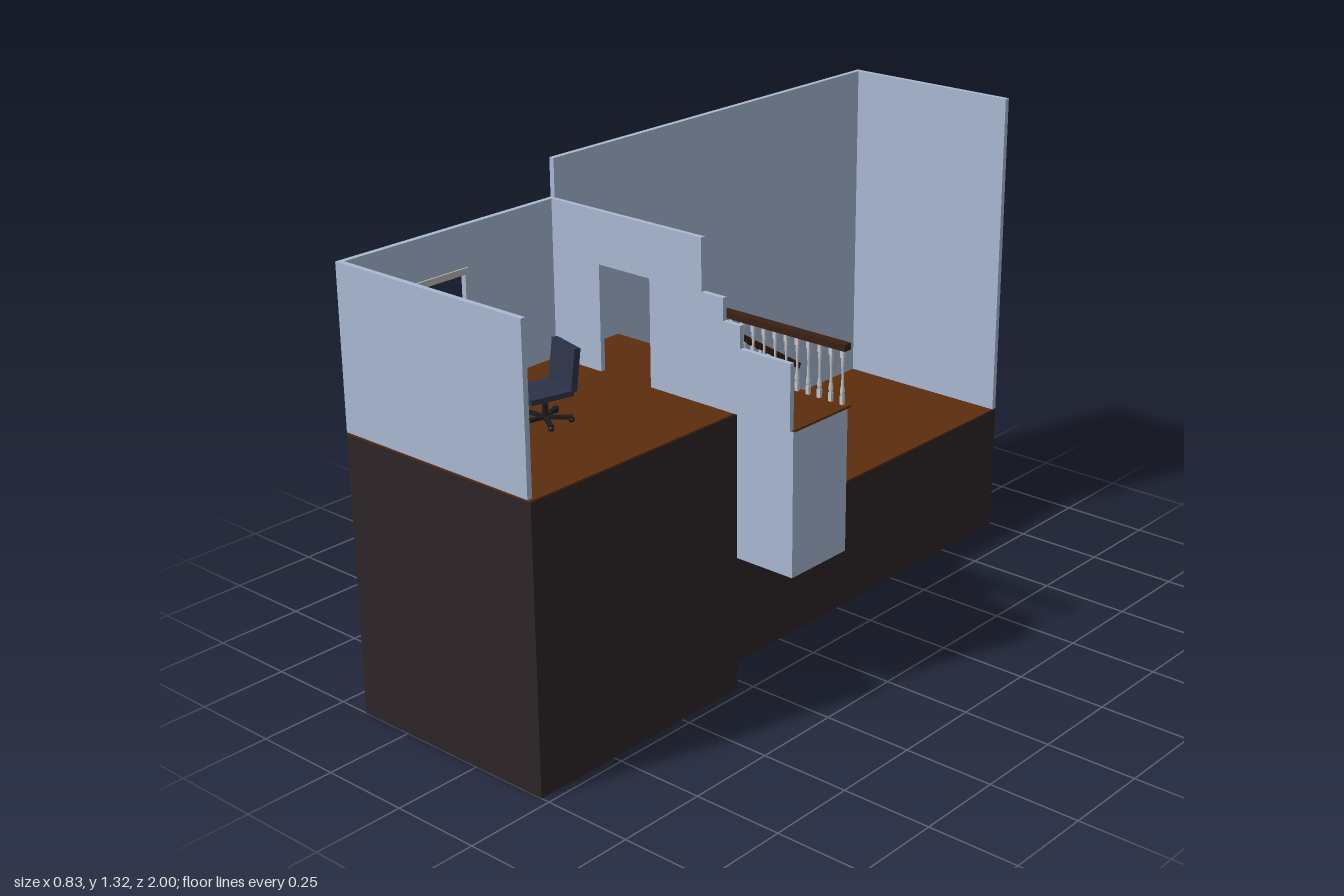
import * as THREE from 'three';

const mat = (color) => new THREE.MeshStandardMaterial({ color, side: THREE.DoubleSide });
const M = {
  wall: mat(0xa9b8d2), base: mat(0x2d2529), wood: mat(0x5c2e0e), rail: mat(0x3a2014),
  post: mat(0xc4c8cc), trim: mat(0xb8b8b8), desk: mat(0x4a2a20), black: mat(0x1c1c20),
  chair: mat(0x2c3448), paper: mat(0xdddddd), blue: mat(0x2c2c70), red: mat(0x70281c),
};

function add(parent, name, geo, material, x = 0, y = 0, z = 0) {
  const m = new THREE.Mesh(geo, material);
  m.name = name;
  m.position.set(x, y, z);
  parent.add(m);
  return m;
}

// Box given by its minimum and maximum on each axis
const box = (p, name, material, x0, x1, y0, y1, z0, z1) =>
  add(p, name, new THREE.BoxGeometry(x1 - x0, y1 - y0, z1 - z0), material,
    (x0 + x1) / 2, (y0 + y1) / 2, (z0 + z1) / 2);

const poly = (C, pts) => new C(pts.map(([a, b]) => new THREE.Vector2(a, b)));

// Outline in (z, y), extruded along +x from x0
function sideExtrude(p, name, material, outline, hole, x0, depth) {
  const s = poly(THREE.Shape, outline.map(([z, y]) => [-z, y]));
  if (hole) s.holes.push(poly(THREE.Path, hole.map(([z, y]) => [-z, y])));
  const geo = new THREE.ExtrudeGeometry(s, { depth, bevelEnabled: false });
  geo.rotateY(Math.PI / 2);
  return add(p, name, geo, material, x0, 0, 0);
}

function group(parent, name) {
  const g = new THREE.Group();
  g.name = name;
  parent.add(g);
  return g;
}

const LOW = 0.375, HIGH = 0.775, STEPS = 8;
const RISE = (HIGH - LOW) / (STEPS + 1), RUN = 0.0715, STAIR_Z = 0.065;

function buildShell(root) {
  // Foundations and floors
  box(root, 'frontFoundation', M.base, -0.41, 0.225, 0, HIGH - 0.005, 0.285, 1);
  box(root, 'rearFoundation', M.base, -0.41, 0.13, 0, LOW - 0.005, -1, 0.285);
  box(root, 'officeFloor', M.wood, -0.41, 0.225, HIGH - 0.005, HIGH, 0.285, 1);
  box(root, 'hallFloor', M.wood, -0.41, 0.13, LOW - 0.005, LOW, -1, 0.285);

  // Side wall in two heights, with the window opening in the front part
  box(root, 'hallSideWall', M.wall, -0.41, -0.395, LOW, 1.315, -1, 0.285);
  sideExtrude(root, 'officeSideWall', M.wall,
    [[0.285, HIGH], [1, HIGH], [1, 1.21], [0.285, 1.21]],
    [[0.605, 0.88], [0.77, 0.88], [0.77, 1.09], [0.605, 1.09]], -0.41, 0.015);
  box(root, 'windowSill', M.trim, -0.416, -0.39, 0.872, 0.888, 0.598, 0.776);
  box(root, 'windowLintel', M.trim, -0.416, -0.39, 1.083, 1.1, 0.598, 0.776);
  box(root, 'backWall', M.wall, -0.395, 0.13, LOW, 1.315, -1, -0.985);
  box(root, 'frontWall', M.wall, -0.395, 0.215, HIGH, 1.21, 0.985, 1);

  // Stepped partition with a doorway
  const s = poly(THREE.Shape, [[-0.395, HIGH], [-0.23, HIGH], [-0.23, 1.067], [-0.055, 1.067],
    [-0.055, HIGH], [0.405, HIGH], [0.405, 0.95], [0.245, 0.95], [0.245, 1.01], [0.19, 1.01],
    [0.19, 1.07], [0.12, 1.07], [0.12, 1.21], [-0.395, 1.21]]);
  add(root, 'partitionWall', new THREE.ExtrudeGeometry(s, { depth: 0.014, bevelEnabled: false }),
    M.wall, 0, 0, 0.283);

  // Landing
  box(root, 'landingBlock', M.wall, -0.395, 0.405, LOW, HIGH - 0.005, 0.07, 0.284);
  box(root, 'landingFloor', M.wood, -0.395, 0.41, HIGH - 0.005, HIGH + 0.001, 0.06, 0.284);
}

function buildStairs(root) {
  const g = group(root, 'staircase');
  const outline = [[STAIR_Z + 0.005, LOW]];
  for (let i = 0; i < STEPS; i++) {
    const y = HIGH - (i + 1) * RISE, z = STAIR_Z - i * RUN;
    outline.push([i ? z : z + 0.005, y - 0.005], [z - RUN, y - 0.005]);
    box(g, 'tread', M.wood, -0.395, -0.22, y - 0.005, y, z - RUN - 0.004, z);
  }
  outline.push([STAIR_Z - STEPS * RUN, LOW]);
  sideExtrude(g, 'stairBody', M.wall, outline, null, -0.395, 0.172);
}

// Turned baluster with square end blocks
function baluster(parent, x, y, z, h) {
  const g = group(parent, 'baluster');
  g.position.set(x, y, z);
  const profile = [[0.0045, 0.15], [0.0065, 0.25], [0.0035, 0.36], [0.003, 0.6], [0.005, 0.78], [0.0035, 0.85]]
    .map(([r, t]) => new THREE.Vector2(r, t * h));
  add(g, 'turnedShaft', new THREE.LatheGeometry(profile, 8), M.post);
  box(g, 'footBlock', M.post, -0.005, 0.005, 0, 0.16 * h, -0.005, 0.005);
  box(g, 'headBlock', M.post, -0.005, 0.005, 0.84 * h, h, -0.005, 0.005);
}

function buildRailing(root) {
  const g = group(root, 'railing');
  const slope = RISE / RUN, x = -0.23, zTop = 0.085, zEnd = -0.507, yTop = 0.932;
  const railY = (z) => yTop + (z - zTop) * slope;

  // Sloping handrail and balusters, two to a tread
  const dz = zTop - zEnd, len = dz * Math.hypot(1, slope);
  const rail = add(g, 'stairHandrail', new THREE.BoxGeometry(0.025, 0.017, len), M.rail,
    x, railY((zTop + zEnd) / 2), (zTop + zEnd) / 2);
  rail.rotation.x = -Math.atan(slope);
  for (let i = 0; i < STEPS * 2; i++) {
    const z = STAIR_Z - (i + 0.5) * RUN / 2;
    const y = HIGH - (Math.floor(i / 2) + 1) * RISE;
    baluster(g, x, y, z, railY(z) - y - 0.004);
  }

  // Level handrail along the landing
  box(g, 'landingHandrail', M.rail, -0.2425, 0.405, 0.922, 0.94, 0.061, 0.086);
  for (let i = 0; i < 18; i++) baluster(g, x + i * 0.0365, HIGH, 0.074, 0.149);
}

function buildChair(root) {
  const g = group(root, 'officeChair');
  g.position.set(-0.09, HIGH, 0.64);
  g.rotation.y = -0.25;
  for (let i = 0; i < 5; i++) {
    const arm = group(g, 'baseArm');
    arm.rotation.y = i * Math.PI * 2 / 5;
    box(arm, 'spoke', M.black, -0.006, 0.006, 0.01, 0.018, 0, 0.068);
    add(arm, 'caster', new THREE.SphereGeometry(0.008, 8, 6), M.black, 0, 0.008, 0.064);
  }
  add(g, 'column', new THREE.CylinderGeometry(0.006, 0.008, 0.07, 10), M.black, 0, 0.045, 0);
  box(g, 'seat', M.chair, -0.057, 0.057, 0.076, 0.09, -0.05, 0.07);
  box(g, 'backSupport', M.black, -0.01, 0.01, 0.07, 0.12, -0.068, -0.06);
  box(g, 'seatBracket', M.black, -0.01, 0.01, 0.068, 0.077, -0.066, 0.01);
  const back = box(g, 'backrest', M.chair, -0.054, 0.054, 0.085, 0.195, -0.067, -0.05);
  back.rotation.x = -0.12;
}

function buildDesk(root) {
  const g = group(root, 'deskArea');
  // Desk with a knee space facing the chair
  box(g, 'deskTop', M.desk, -0.205, 0, 0.89, 0.905, 0.842, 0.975);
  box(g, 'deskSide', M.desk, -0.2, -0.185, HIGH, 0.89, 0.845, 0.975);
  box(g, 'deskDrawers', M.desk, -0.065, -0.002, HIGH, 0.89, 0.845, 0.975);
  box(g, 'deskBack', M.desk, -0.2, 0, HIGH, 0.89, 0.965, 0.975);

  // Desk lamp and open book
  add(g, 'lampBase', new THREE.CylinderGeometry(0.016, 0.018, 0.006, 12), M.black, -0.145, 0.908, 0.925);
  const arm = add(g, 'lampArm', new THREE.CylinderGeometry(0.003, 0.003, 0.07, 6), M.black, -0.145, 0.942, 0.925);
  arm.rotation.x = 0.15;
  const head = add(g, 'lampShade', new THREE.CylinderGeometry(0.006, 0.016, 0.025, 12, 1, true), M.black, -0.145, 0.968, 0.914);
  head.rotation.x = 0.7;
  const book = group(g, 'openBook');
  book.position.set(-0.05, 0.911, 0.91);
  book.rotation.y = 0.25;
  for (const s of [-1, 1]) {
    const page = box(book, 'page', M.paper, -0.016, 0.016, -0.002, 0.002, -0.018, 0.018);
    page.position.x = s * 0.016;
    page.rotation.z = s * 0.2;
  }

  // Staggered wall shelves with a divider and books
  box(g, 'lowerShelf', M.rail, -0.1, 0.13, 1.0, 1.008, 0.94, 0.985);
  box(g, 'upperShelf', M.rail, -0.21, 0.03, 1.1, 1.108, 0.94, 0.985);
  box(g, 'shelfDivider', M.black, -0.03, -0.022, 1.008, 1.1, 0.945, 0.985);
  [[M.blue, 0.075], [M.black, 0.07], [M.red, 0.065], [M.blue, 0.078], [M.black, 0.072]].forEach(([m, h], i) =>
    box(g, 'book', m, 0.035 + i * 0.017, 0.049 + i * 0.017, 1.008, 1.008 + h, 0.938, 0.98));
}

export function createModel() {
  const root = new THREE.Group();
  root.name = 'houseInterior';
  buildShell(root);
  buildStairs(root);
  buildRailing(root);
  buildChair(root);
  buildDesk(root);
  return root;
}
